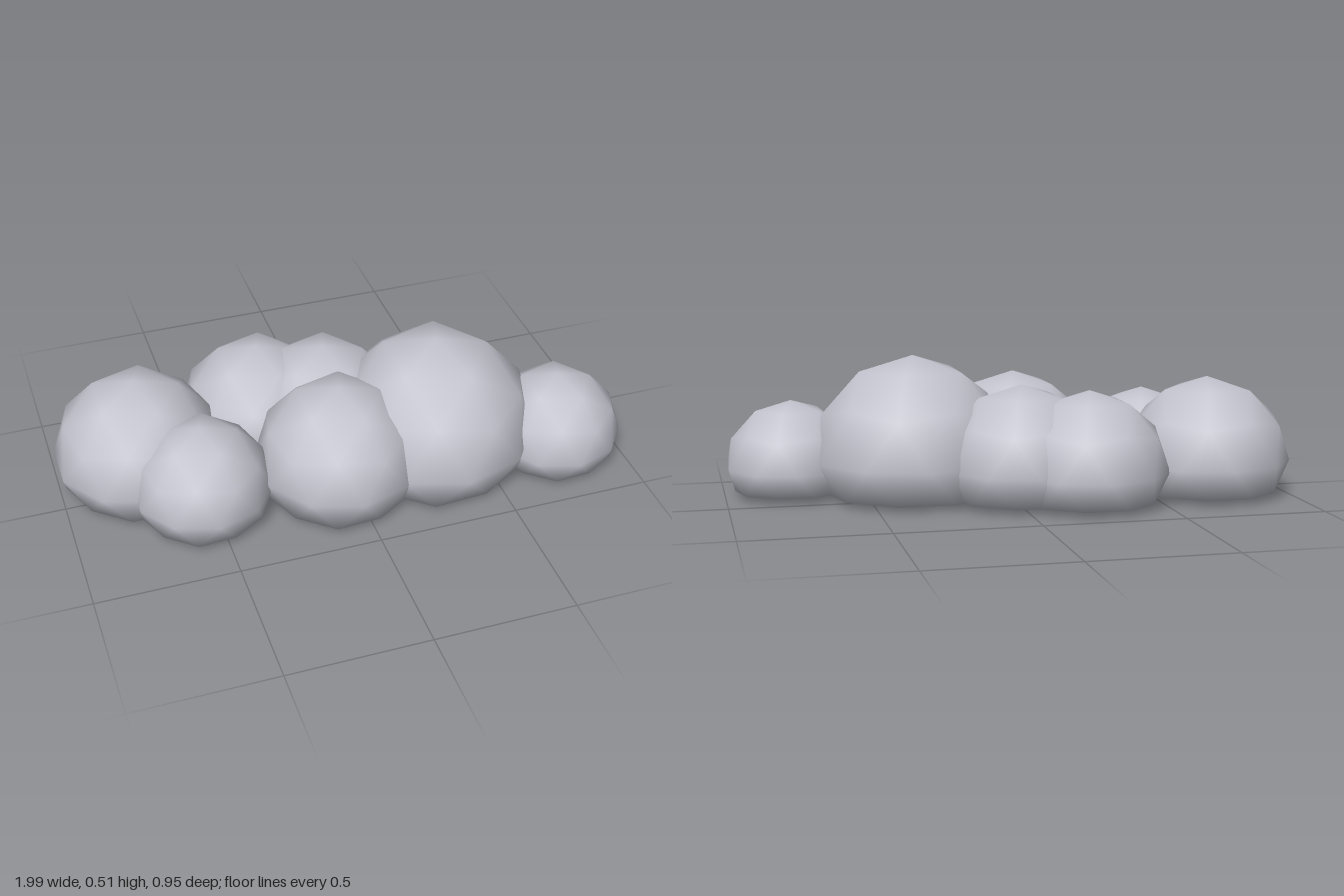
import * as THREE from 'three';
import { mergeVertices } from 'three/addons/utils/BufferGeometryUtils.js';

// Below this height every puff is squashed into a nearly flat underside
const FLOOR = 0.0253;
const SQUASH = 0.1;

// Low-poly sphere with a corner pointing straight up, shared vertices for smooth shading
function puffGeometry(x, y, z, radius) {
  let geometry = new THREE.IcosahedronGeometry(radius, 1);
  geometry.deleteAttribute('normal');
  geometry.deleteAttribute('uv');
  geometry = mergeVertices(geometry, 1e-4);
  geometry.rotateZ(-Math.atan(2 / (1 + Math.sqrt(5))));
  geometry.translate(x, y, z);

  const position = geometry.attributes.position;
  for (let i = 0; i < position.count; i++) {
    const height = position.getY(i);
    if (height < FLOOR) position.setY(i, Math.max(0, FLOOR + (height - FLOOR) * SQUASH));
  }
  geometry.computeVertexNormals();
  return geometry;
}

export function createModel() {
  const cloud = new THREE.Group();
  cloud.name = 'cloud';

  const cloudGrey = new THREE.MeshStandardMaterial({ color: 0xc3c4ce });
  cloudGrey.name = 'cloudGrey';

  // name, centre x, y, z, radius
  const puffs = [
    ['largePuff', 0.333, 0.143, 0.105, 0.367],
    ['leftEndPuff', 0.76, 0.105, 0.22, 0.24],
    ['rightEndPuff', -0.71, 0.127, -0.09, 0.302],
    ['backPuff', -0.24, 0.12, -0.195, 0.285],
    ['backMiddlePuff', -0.02, 0.13, -0.1, 0.29],
    ['frontMiddlePuff', -0.05, 0.14, 0.175, 0.296],
    ['frontRightPuff', -0.54, 0.117, 0.155, 0.247],
  ];
  for (const [name, x, y, z, radius] of puffs) {
    const puff = new THREE.Mesh(puffGeometry(x, y, z, radius), cloudGrey);
    puff.name = name;
    cloud.add(puff);
  }
  return cloud;
}
